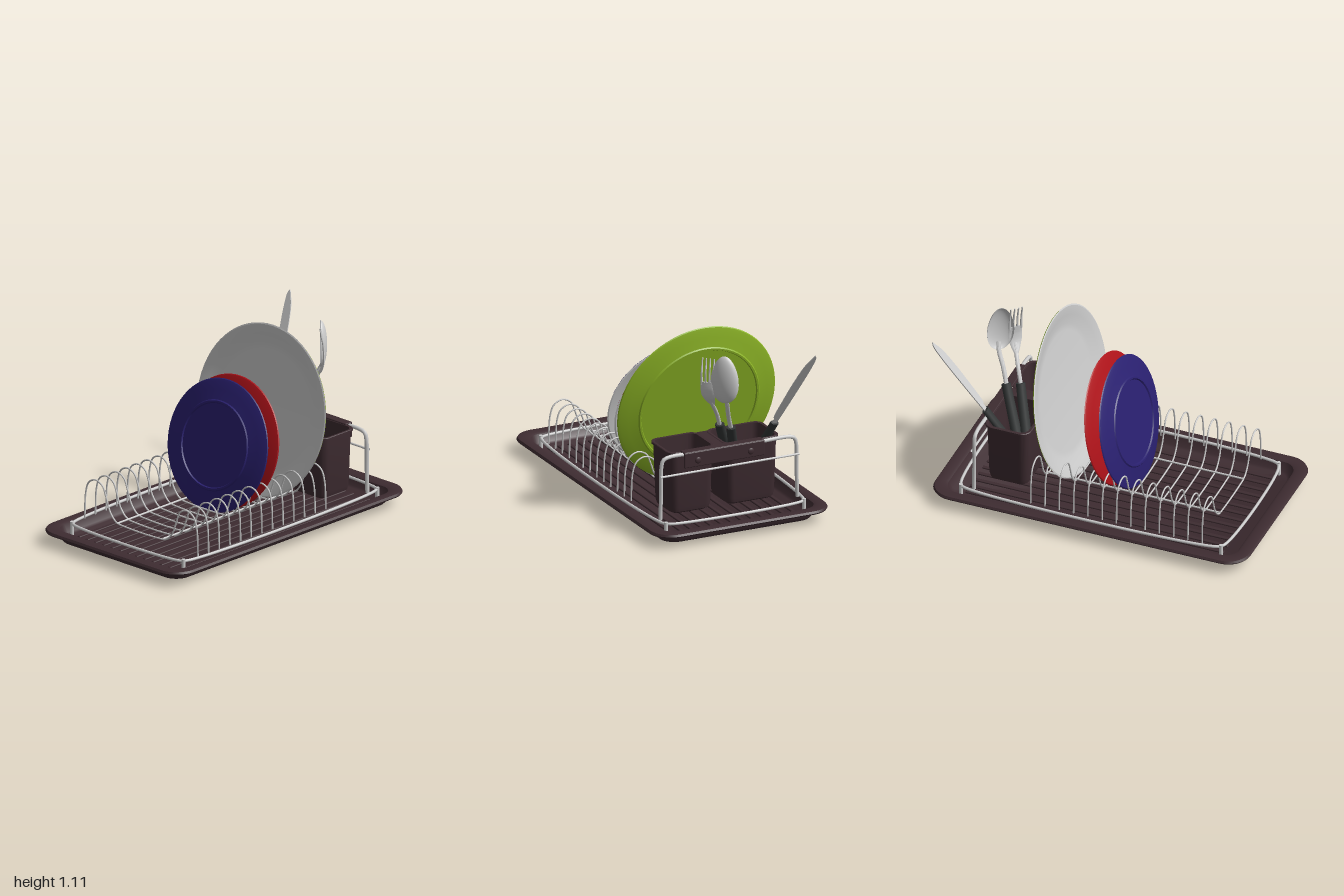
import * as THREE from 'three';
import { toCreasedNormals } from 'three/addons/utils/BufferGeometryUtils.js';
import { RoundedBoxGeometry } from 'three/addons/geometries/RoundedBoxGeometry.js';

const V = (x, y, z) => new THREE.Vector3(x, y, z);
const mat = (color) => new THREE.MeshStandardMaterial({ color, side: THREE.DoubleSide });
const metal = mat(0xcccccc), plastic = mat(0x3e2c31), grip = mat(0x333636);

function add(parent, name, geometry, material, x = 0, y = 0, z = 0) {
  const mesh = new THREE.Mesh(geometry, material);
  mesh.name = name;
  mesh.position.set(x, y, z);
  parent.add(mesh);
  return mesh;
}

function group(parent, name) {
  const g = new THREE.Group();
  g.name = name;
  parent.add(g);
  return g;
}

// Joins closed rings of equal point count into a surface
function skin(rings, crease = 0.7) {
  const n = rings[0].length, index = [];
  for (let j = 0; j < rings.length - 1; j++) {
    for (let i = 0; i < n; i++) {
      const a = j * n + i, b = j * n + (i + 1) % n;
      index.push(a, a + n, b, b, a + n, b + n);
    }
  }
  const g = new THREE.BufferGeometry().setFromPoints(rings.flat());
  g.setIndex(index);
  return toCreasedNormals(g, crease);
}

// Horizontal rounded rectangle; rows are [halfX, halfZ, radius, y]
function roundedRing([hx, hz, r, y]) {
  const pts = [];
  for (let q = 0; q < 4; q++) {
    const sx = q === 0 || q === 3 ? 1 : -1, sz = q < 2 ? 1 : -1;
    for (let k = 0; k <= 8; k++) {
      const a = (q + k / 8) * Math.PI / 2;
      pts.push(V(sx * (hx - r) + r * Math.cos(a), y, sz * (hz - r) + r * Math.sin(a)));
    }
  }
  return pts;
}
const basin = (rows) => skin(rows.map(roundedRing));

// Elliptical section swept along points; side is the width direction
function sweep(points, side, width, thick, steps = 20) {
  const curve = new THREE.CatmullRomCurve3(points), rings = [];
  for (let j = -1; j <= steps + 1; j++) {
    const t = THREE.MathUtils.clamp(j / steps, 0, 1);
    const cap = j < 0 || j > steps ? 0 : 1;
    const c = curve.getPoint(t), T = curve.getTangent(t);
    const u = side.clone().addScaledVector(T, -side.dot(T)).normalize();
    const n = u.clone().cross(T), ring = [];
    for (let i = 0; i < 12; i++) {
      const a = i / 12 * Math.PI * 2;
      ring.push(c.clone().addScaledVector(u, cap * width(t) * Math.cos(a))
        .addScaledVector(n, cap * thick(t) * Math.sin(a)));
    }
    rings.push(ring);
  }
  return skin(rings, 1);
}

function wire(points, radius, steps = 40, closed = false) {
  const curve = new THREE.CatmullRomCurve3(points, closed, 'centripetal');
  return new THREE.TubeGeometry(curve, steps, radius, 8, closed);
}

function orient(mesh, u, v, origin) {
  mesh.applyMatrix4(new THREE.Matrix4().makeBasis(u, v, u.clone().cross(v)).setPosition(origin));
}

function buildTray(root) {
  const tray = group(root, 'drip tray');
  add(tray, 'tray basin', basin([
    [0, 0, 0, 0], [0.87, 0.45, 0.07, 0], [0.9, 0.48, 0.09, 0.01], [0.917, 0.497, 0.1, 0.03],
    [0.92, 0.5, 0.1, 0.068], [0.985, 0.565, 0.135, 0.068], [0.99, 0.57, 0.14, 0.076], [0.982, 0.562, 0.13, 0.088],
    [0.97, 0.55, 0.12, 0.09], [0.925, 0.515, 0.1, 0.09], [0.91, 0.5, 0.09, 0.083],
    [0.89, 0.48, 0.08, 0.035], [0.875, 0.465, 0.07, 0.025], [0, 0, 0, 0.025]]), plastic, -0.01);
  for (let i = -6; i <= 6; i++) {
    add(tray, 'floor ridge', new RoundedBoxGeometry(1.62, 0.014, 0.024, 2, 0.006), plastic, -0.01, 0.027, i * 0.066);
  }
}

function buildRack(root) {
  const rack = group(root, 'wire rack');
  // Base frame with rounded corners
  const corners = [];
  for (const [sx, sz] of [[1, 1], [-1, 1], [-1, -1], [1, -1]]) {
    const a = V(sx * 0.825 - 0.005, 0.1, sz * 0.425), b = V(sx * 0.795 - 0.005, 0.1, sz * 0.455);
    corners.push(...(sx * sz > 0 ? [a, b] : [b, a]));
    add(rack, 'frame foot', new THREE.CylinderGeometry(0.012, 0.012, 0.09, 10), metal, sx * 0.815 - 0.005, 0.068, sz * 0.448);
  }
  add(rack, 'base frame', wire(corners, 0.009, 160, true), metal);
  // Plate hoops: an arch at each end joined by a low cross run
  const half = [[0.455, 0.1], [0.445, 0.27], [0.42, 0.335], [0.365, 0.36], [0.31, 0.335],
    [0.285, 0.28], [0.25, 0.19], [0.2, 0.14], [0.12, 0.13]];
  const hoop = [...half, ...half.map(([z, y]) => [-z, y]).reverse()].map(([z, y]) => V(0, y, z));
  const hoopGeometry = wire(hoop, 0.005, 90);
  for (let i = 0; i < 13; i++) add(rack, 'plate hoop', hoopGeometry, metal, -0.705 + i * 0.0896);
  for (const z of [-0.185, 0.18]) {
    add(rack, 'lengthwise wire', wire([V(-0.71, 0.14, z), V(0.375, 0.14, z)], 0.006, 2), metal);
  }
  // End handle carrying the caddy
  const side = [[0.445, 0.1], [0.44, 0.25], [0.437, 0.43], [0.425, 0.465], [0.39, 0.478], [0.2, 0.478]];
  const handle = [...side, ...side.map(([z, y]) => [-z, y]).reverse()].map(([z, y]) => V(0.73, y, z));
  add(rack, 'end handle', wire(handle, 0.012, 90), metal);
  add(rack, 'handle crossbar', wire([V(0.742, 0.366, 0.45), V(0.742, 0.366, -0.45)], 0.007, 2), metal);
}

function buildCaddy(root) {
  const caddy = group(root, 'cutlery caddy');
  for (const [z, h] of [[0.22, 0.145], [-0.167, 0.172]]) {
    add(caddy, 'caddy cup', basin([
      [0, 0, 0, 0.1], [0.1, h - 0.04, 0.03, 0.1], [0.118, h - 0.018, 0.045, 0.112], [0.124, h - 0.01, 0.05, 0.14],
      [0.132, h, 0.05, 0.472], [0.142, h + 0.01, 0.055, 0.476], [0.142, h + 0.01, 0.055, 0.487],
      [0.138, h + 0.006, 0.05, 0.49], [0.124, h - 0.008, 0.045, 0.488], [0.115, h - 0.018, 0.045, 0.13],
      [0.1, h - 0.03, 0.04, 0.115], [0, 0, 0, 0.115]]), plastic, 0.572, 0, z);
  }
  add(caddy, 'cup bridge', new THREE.BoxGeometry(0.25, 0.05, 0.085), plastic, 0.572, 0.462, 0.04);
  // Hook folded over the handle
  add(caddy, 'hook top', new RoundedBoxGeometry(0.055, 0.012, 0.52, 2, 0.005), plastic, 0.727, 0.491, 0.04);
  add(caddy, 'hook plate', new RoundedBoxGeometry(0.014, 0.092, 0.52, 3, 0.006), plastic, 0.75, 0.447, 0.04);
  for (const z of [0.212, -0.13]) {
    add(caddy, 'hook stud', new THREE.SphereGeometry(0.02, 16, 10).scale(0.4, 1, 1), plastic, 0.757, 0.44, z);
  }
}

// Plate with foot ring; coloured underside, pale inside
function buildPlate(root, name, color, R, f, d, x, y, angle) {
  const plate = group(root, name);
  const lathe = (pts) => toCreasedNormals(
    new THREE.LatheGeometry(pts.map(([r, h]) => new THREE.Vector2(r, h)), 64), 0.5);
  add(plate, 'plate underside', lathe([[0, 0.008 - d], [f - 0.016, 0.008 - d], [f - 0.011, -d], [f, -d],
    [f + 0.006, 0.007 - d], [(f + R) / 2, -d * 0.5], [R - 0.02, -0.012], [R - 0.004, -0.006], [R, 0]]), mat(color));
  add(plate, 'plate inside', lathe([[R, 0], [R - 0.008, 0.003], [(f + R) / 2, 0.01 - d * 0.4],
    [f + 0.01, 0.017 - d], [f - 0.03, 0.014 - d], [0, 0.014 - d]]), metal);
  plate.position.set(x, y, 0);
  plate.rotation.z = angle;
}

function buildCutlery(root) {
  const across = V(0.7071, 0, -0.7071), up = V(0, 1, 0);
  const handle = (g, a, b, w, t) => add(g, 'handle grip',
    sweep([a, b], across, (s) => w * (1 - 0.15 * s), () => t, 8), grip);

  const spoon = group(root, 'spoon');
  handle(spoon, V(0.59, 0.28, -0.115), V(0.697, 0.585, -0.03), 0.034, 0.022);
  add(spoon, 'spoon neck', sweep([V(0.69, 0.57, -0.035), V(0.725, 0.67, 0), V(0.765, 0.765, 0.03), V(0.773, 0.81, 0.05)],
    across, () => 0.014, (t) => 0.011 - 0.005 * t), metal);
  const bowl = new THREE.SphereGeometry(1, 28, 16, 0, Math.PI);
  const p = bowl.attributes.position;
  for (let i = 0; i < p.count; i++) p.setX(i, p.getX(i) * (1 - 0.14 * p.getY(i)));
  bowl.scale(0.085, 0.145, 0.04).computeVertexNormals();
  orient(add(spoon, 'spoon bowl', bowl, metal), across, up, V(0.758, 0.91, 0.04));

  const fork = group(root, 'fork');
  handle(fork, V(0.535, 0.28, -0.105), V(0.62, 0.585, 0.005), 0.034, 0.022);
  add(fork, 'fork neck', sweep([V(0.615, 0.57, 0), V(0.645, 0.66, 0.035), V(0.68, 0.745, 0.085), V(0.695, 0.79, 0.11)],
    across, () => 0.013, (t) => 0.011 - 0.005 * t), metal);
  add(fork, 'fork palm', sweep([V(0.675, 0.735, 0.078), V(0.695, 0.79, 0.11), V(0.701, 0.84, 0.122), V(0.7, 0.89, 0.124)],
    across, (t) => 0.014 + 0.03 * Math.sin(Math.min(t * 1.7, 1) * Math.PI / 2), () => 0.006), metal);
  for (let i = 0; i < 4; i++) {
    const o = (i - 1.5) * 0.024;
    const tine = [V(0.7, 0.87, 0.124), V(0.697, 0.95, 0.121), V(0.686, 1.03, 0.11)].map((q) => q.addScaledVector(across, o));
    add(fork, 'fork tine', sweep(tine, across, (t) => 0.008 - 0.004 * t, () => 0.005, 10), metal);
  }

  const knife = group(root, 'knife');
  const base = V(0.715, 0.575, -0.305), dir = V(0.997, 1.06, -0.425).sub(base).normalize();
  const side = V(0, 0, 1).addScaledVector(dir, -dir.z).normalize();
  add(knife, 'knife grip', sweep([base.clone().addScaledVector(dir, -0.44), base], side,
    (t) => 0.034 - 0.006 * t, () => 0.018, 8), grip);
  const s = new THREE.Shape();
  s.moveTo(-0.013, -0.03);
  s.lineTo(0.016, -0.03);
  s.lineTo(0.016, 0.03);
  s.splineThru([[0.03, 0.06], [0.034, 0.2], [0.034, 0.35], [0.024, 0.48], [-0.004, 0.575]].map((q) => new THREE.Vector2(...q)));
  s.splineThru([[-0.022, 0.54], [-0.027, 0.42], [-0.022, 0.2], [-0.013, -0.03]].map((q) => new THREE.Vector2(...q)));
  const blade = new THREE.ExtrudeGeometry(s, { depth: 0.006, bevelEnabled: false }).translate(0, 0, -0.003);
  orient(add(knife, 'knife blade', blade, metal), side, dir, base);
}

export function createModel() {
  const root = new THREE.Group();
  root.name = 'dish rack';
  buildTray(root);
  buildRack(root);
  buildCaddy(root);
  const q = Math.PI / 2;
  buildPlate(root, 'blue plate', 0x2a2070, 0.393, 0.262, 0.042, -0.06, 0.495, -q - 0.248);
  buildPlate(root, 'red plate', 0xae1219, 0.393, 0.262, 0.042, 0.033, 0.495, -q - 0.248);
  buildPlate(root, 'green plate', 0x8db526, 0.51, 0.385, 0.045, 0.303, 0.615, q - 0.209);
  buildCutlery(root);
  return root;
}
